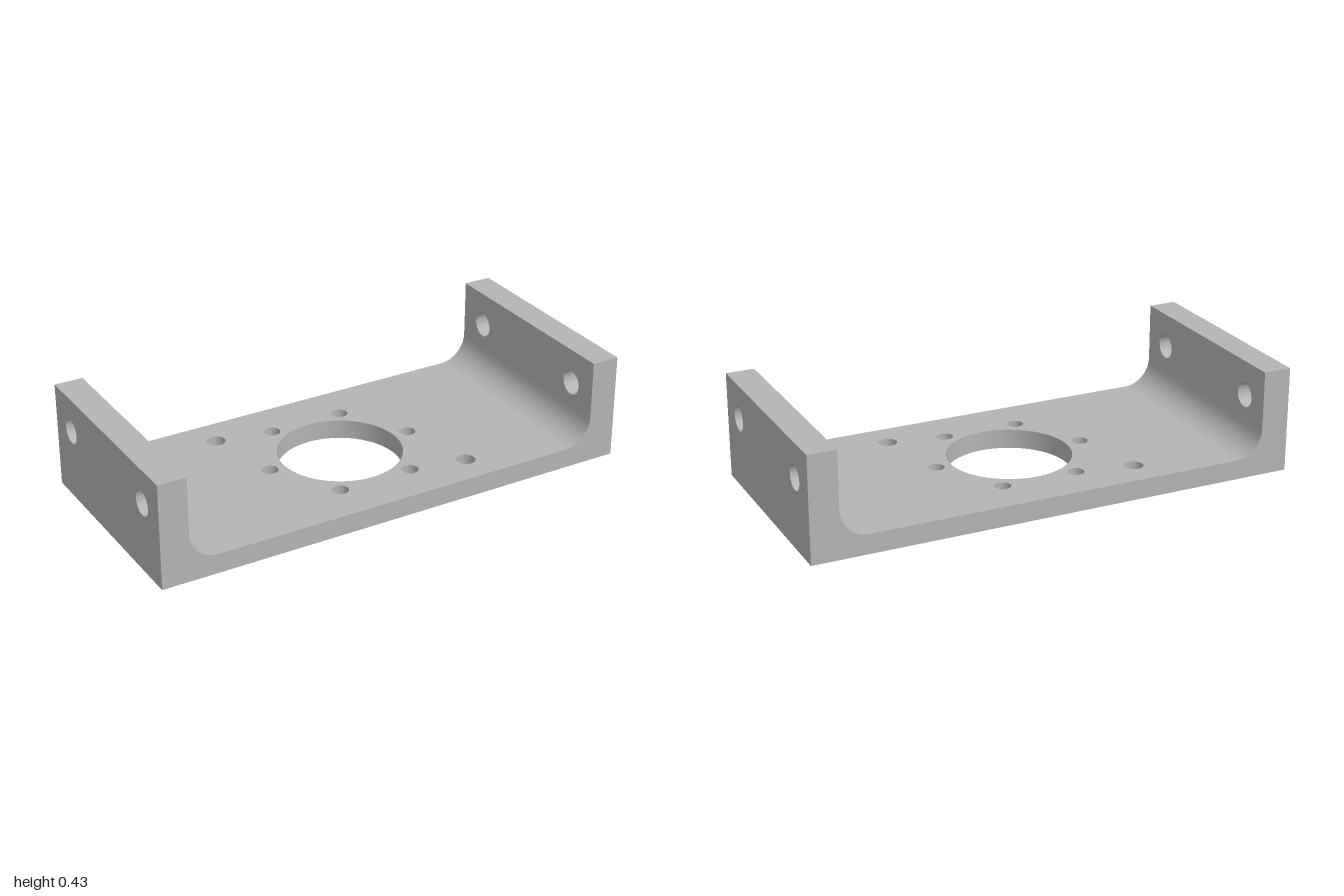
import * as THREE from 'three';
import { toCreasedNormals } from 'three/addons/utils/BufferGeometryUtils.js';

const DEPTH = 0.9, HEIGHT = 0.43, FLOOR = 0.08, WALL = 0.115, FILLET = 0.115;
const wallX = 1 - WALL;            // inner face of each wall
const bendX = wallX - FILLET;      // where the fillet meets the floor
const bendY = FLOOR + FILLET;      // where the fillet meets the wall

function rectangle(x0, y0, x1, y1) {
  return new THREE.Shape([
    new THREE.Vector2(x0, y0), new THREE.Vector2(x1, y0),
    new THREE.Vector2(x1, y1), new THREE.Vector2(x0, y1),
  ]);
}

function drill(shape, x, y, radius) {
  shape.holes.push(new THREE.Path().absarc(x, y, radius, 0, Math.PI * 2, true));
}

function extrude(shape, depth) {
  const geometry = new THREE.ExtrudeGeometry(shape, { depth, bevelEnabled: false, curveSegments: 32 });
  return toCreasedNormals(geometry, 0.5);
}

export function createModel() {
  const model = new THREE.Group();
  model.name = 'mountingBracket';
  const metal = new THREE.MeshStandardMaterial({ color: 0xb4b4b4 });
  metal.name = 'grey metal';

  const add = (name, geometry) => {
    const mesh = new THREE.Mesh(geometry, metal);
    mesh.name = name;
    model.add(mesh);
    return mesh;
  };

  // Floor plate with a large bore, a ring of six holes and two locating holes
  const floor = rectangle(-bendX, -DEPTH / 2, bendX, DEPTH / 2);
  drill(floor, 0, 0, 0.25);
  for (let i = 0; i < 6; i++) {
    const a = i * Math.PI / 3;
    drill(floor, 0.314 * Math.cos(a), 0.314 * Math.sin(a), 0.033);
  }
  for (const s of [-1, 1]) drill(floor, s * 0.388, -s * 0.315, 0.038);
  add('floorPlate', extrude(floor, FLOOR).rotateX(-Math.PI / 2));

  // Upright walls, each with two cross holes
  const wall = rectangle(-DEPTH / 2, bendY, DEPTH / 2, HEIGHT);
  for (const s of [-1, 1]) drill(wall, s * 0.313, 0.29, 0.05);
  const wallGeometry = extrude(wall, WALL).rotateY(Math.PI / 2).translate(wallX, 0, 0);

  // Filleted corners joining floor and walls
  const corner = new THREE.Shape();
  corner.moveTo(bendX, 0);
  corner.lineTo(1, 0);
  corner.lineTo(1, bendY);
  corner.lineTo(wallX, bendY);
  corner.absarc(bendX, bendY, FILLET, 0, -Math.PI / 2, true);
  corner.closePath();
  const cornerGeometry = extrude(corner, DEPTH).translate(0, 0, -DEPTH / 2);

  for (const [side, turn] of [['left', 0], ['right', Math.PI]]) {
    add(side + 'Wall', wallGeometry).rotation.y = turn;
    add(side + 'Corner', cornerGeometry).rotation.y = turn;
  }
  return model;
}
